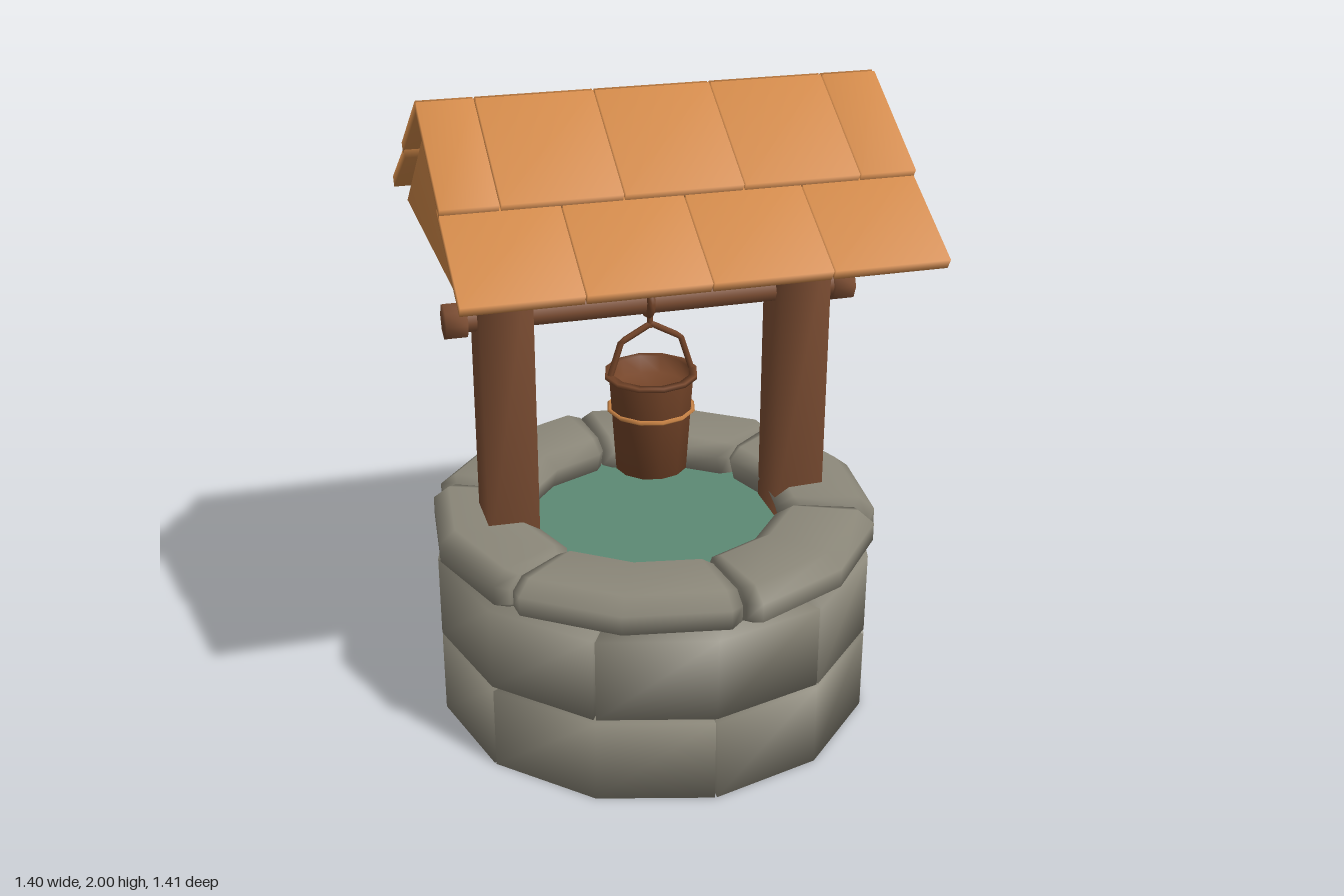
import * as THREE from 'three';
import { mergeVertices } from 'three/addons/utils/BufferGeometryUtils.js';

const rad = THREE.MathUtils.degToRad;

// Weld all corners so that the shading rolls softly over the edges
function soften(geo) {
  geo.deleteAttribute('normal');
  geo.deleteAttribute('uv');
  const welded = mergeVertices(geo, 1e-4);
  welded.computeVertexNormals();
  return welded;
}

// Sweep a closed (radius, height) profile through a list of [angle, scale] sections
function ringStone(profile, sections) {
  const n = profile.length, pos = [], idx = [];
  const cr = profile.reduce((s, p) => s + p[0], 0) / n;
  const cy = profile.reduce((s, p) => s + p[1], 0) / n;
  for (const [deg, scale] of sections) {
    const a = rad(deg);
    for (const [pr, py] of profile) {
      const r = cr + (pr - cr) * scale, y = cy + (py - cy) * scale;
      pos.push(Math.sin(a) * r, y, Math.cos(a) * r);
    }
  }
  const last = (sections.length - 1) * n;
  for (let i = 0; i < last; i += n) {
    for (let j = 0; j < n; j++) {
      const k = (j + 1) % n;
      idx.push(i + j, i + n + j, i + n + k, i + j, i + n + k, i + k);
    }
  }
  for (let j = 1; j < n - 1; j++) idx.push(0, j, j + 1, last, last + j + 1, last + j);
  const geo = new THREE.BufferGeometry();
  geo.setAttribute('position', new THREE.Float32BufferAttribute(pos, 3));
  geo.setIndex(idx);
  geo.computeVertexNormals();
  return geo;
}

export function createModel() {
  const paint = (name, color) => {
    const m = new THREE.MeshStandardMaterial({ color });
    m.name = name;
    return m;
  };
  const stone = paint('grey stone', 0x8c887a);
  const wood = paint('brown wood', 0x7d4e33);
  const bucketWood = paint('bucket wood', 0x754529);
  const clay = paint('orange clay', 0xd08848);
  const water = paint('green water', 0x5c8a74);

  const model = new THREE.Group();
  model.name = 'well';
  const add = (name, geo, mat, x = 0, y = 0, z = 0, parent = model) => {
    const mesh = new THREE.Mesh(geo, mat);
    mesh.name = name;
    mesh.position.set(x, y, z);
    parent.add(mesh);
    return mesh;
  };
  const box = (w, h, d) => soften(new THREE.BoxGeometry(w, h, d));
  const group = (name) => {
    const g = new THREE.Group();
    g.name = name;
    model.add(g);
    return g;
  };

  // Two staggered courses of wall stones
  const wall = group('wall');
  [[0, 0.265, 0], [0.28, 0.545, 30]].forEach(([y0, y1, start]) => {
    const profile = [[0.4, y0], [0.695, y0], [0.695, y1], [0.4, y1]];
    for (let i = 0; i < 6; i++) {
      const a = start + i * 60;
      const geo = ringStone(profile, [[a + 0.3, 1], [a + 30, 1], [a + 59.7, 1]]);
      add('wallStone', geo, stone, 0, 0, 0, wall);
    }
  });
  add('wallCore', new THREE.CylinderGeometry(0.6, 0.6, 0.55, 12), stone, 0, 0.285, 0, wall);

  // Rounded coping stones around the opening
  const coping = group('coping');
  const copingProfile = [[0.42, 0.565], [0.65, 0.555], [0.705, 0.585], [0.705, 0.645], [0.655, 0.685], [0.45, 0.68], [0.395, 0.645]];
  for (let i = 0; i < 6; i++) {
    const a = 7 + i * 60;
    const geo = ringStone(copingProfile, [[a + 0.5, 0.82], [a + 4, 1], [a + 30, 1], [a + 56, 1], [a + 59.5, 0.82]]);
    add('copingStone', geo, stone, 0, 0, 0, coping);
  }

  add('waterSurface', new THREE.CircleGeometry(0.46, 24).rotateX(-Math.PI / 2), water, 0, 0.575, 0);

  // Posts, roof beam and turning axle
  for (const s of [-1, 1]) {
    add('post', box(0.16, 1, 0.16), wood, s * 0.465, 1.085, 0);
    const knob = soften(new THREE.CylinderGeometry(0.056, 0.056, 0.065, 8).rotateZ(Math.PI / 2));
    add('axleKnob', knob, wood, s * 0.607, 1.335, 0);
  }
  add('roofBeam', box(1.29, 0.06, 0.09), wood, 0, 1.575, 0);
  add('axle', new THREE.CylinderGeometry(0.04, 0.04, 1.16, 8).rotateZ(Math.PI / 2), wood, 0, 1.335, 0);

  // Gable boards closing the roof ends
  const triangle = new THREE.Shape([[-0.48, 1.565], [0.48, 1.565], [0, 1.93]].map((p) => new THREE.Vector2(...p)));
  for (const s of [-1, 1]) {
    const geo = new THREE.ExtrudeGeometry(triangle, { depth: 0.04, bevelEnabled: false });
    geo.translate(0, 0, -0.02).rotateY(Math.PI / 2);
    add('gable', soften(geo), clay, s * 0.64, 0, 0);
  }

  // Two overlapping rows of tiles on each slope
  const rows = [
    { from: [0, 1.982], to: [0.335, 1.773], cuts: [-0.688, -0.52, -0.175, 0.17, 0.515, 0.685] },
    { from: [0.29, 1.772], to: [0.6, 1.592], cuts: [-0.688, -0.35, -0.002, 0.342, 0.685] },
  ];
  for (const s of [-1, 1]) {
    const slope = group(s > 0 ? 'frontRoof' : 'backRoof');
    for (const { from, to, cuts } of rows) {
      const dz = to[0] - from[0], dy = to[1] - from[1];
      for (let i = 0; i < cuts.length - 1; i++) {
        const geo = box(cuts[i + 1] - cuts[i] - 0.006, 0.034, Math.hypot(dz, dy));
        const tile = add('roofTile', geo, clay, (cuts[i] + cuts[i + 1]) / 2,
          (from[1] + to[1]) / 2, s * (from[0] + to[0]) / 2, slope);
        tile.rotation.x = s * Math.atan2(-dy, dz);
      }
    }
  }

  // Bucket with rim, hoop, bail handle and hanging ring
  const bucket = group('bucket');
  bucket.position.x = -0.005;
  const outline = [[0, 0.785], [0.113, 0.785], [0.133, 1.09], [0.146, 1.092], [0.146, 1.105], [0.122, 1.105], [0.118, 1.05], [0, 1.05]];
  const shell = new THREE.LatheGeometry(outline.map((p) => new THREE.Vector2(...p)), 12);
  add('bucketShell', shell, bucketWood, 0, 0, 0, bucket);
  const hoop = new THREE.TorusGeometry(0.132, 0.008, 4, 12).rotateX(Math.PI / 2);
  add('bucketHoop', hoop, clay, 0, 0.985, 0, bucket);
  const bail = new THREE.CurvePath();
  const bends = [[-0.13, 1.1], [-0.095, 1.21], [0, 1.262], [0.095, 1.21], [0.13, 1.1]].map((p) => new THREE.Vector3(...p, 0));
  for (let i = 0; i < 4; i++) bail.add(new THREE.LineCurve3(bends[i], bends[i + 1]));
  add('bucketHandle', new THREE.TubeGeometry(bail, 24, 0.01, 6), bucketWood, 0, 0, 0, bucket);
  const loop = new THREE.TorusGeometry(0.048, 0.013, 6, 12).rotateY(Math.PI / 2);
  add('ropeRing', loop, bucketWood, -0.012, 1.343, 0, bucket);
  add('hangingLink', new THREE.CylinderGeometry(0.009, 0.009, 0.06, 6), bucketWood, -0.003, 1.28, 0, bucket);

  return model;
}
